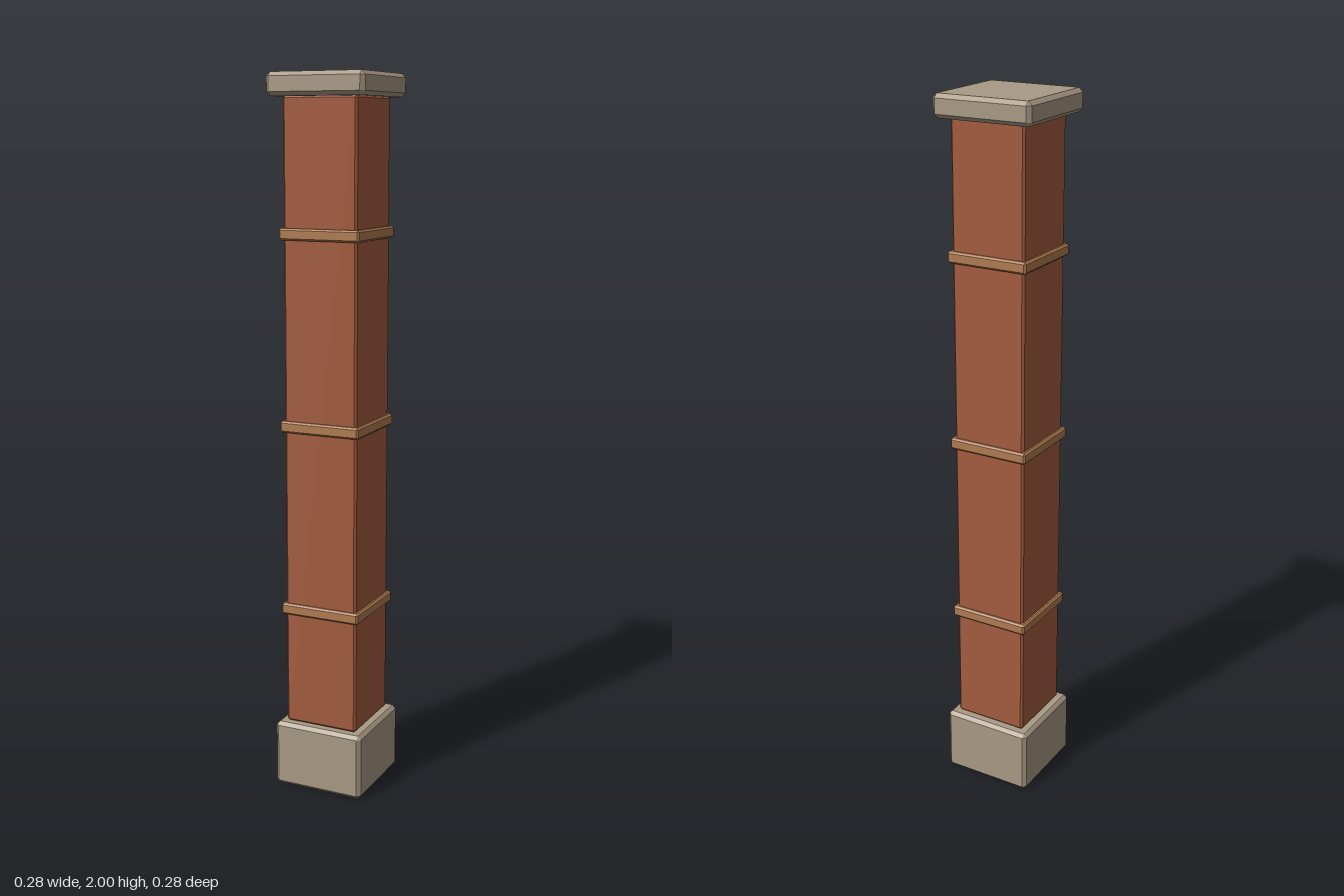
import * as THREE from 'three';
import { ConvexGeometry } from 'three/addons/geometries/ConvexGeometry.js';

// Square block with every edge and corner chamfered by c
function chamferedBlock(name, half, y0, y1, c, color) {
  const h = (y1 - y0) / 2;
  const points = [];
  for (const sx of [-1, 1]) for (const sy of [-1, 1]) for (const sz of [-1, 1]) {
    points.push(
      new THREE.Vector3(sx * half, sy * (h - c), sz * (half - c)),
      new THREE.Vector3(sx * (half - c), sy * h, sz * (half - c)),
      new THREE.Vector3(sx * (half - c), sy * (h - c), sz * half)
    );
  }
  const material = new THREE.MeshStandardMaterial({ color, flatShading: true });
  const mesh = new THREE.Mesh(new ConvexGeometry(points), material);
  mesh.name = name;
  mesh.position.y = (y0 + y1) / 2;
  return mesh;
}

export function createModel() {
  const stone = 0xa89a84, brick = 0xa35c3e, trim = 0xb07b50;
  const pillar = new THREE.Group();
  pillar.name = 'pillar';

  // Stone plinth, brick shaft and stone cap
  pillar.add(chamferedBlock('base', 0.133, 0, 0.19, 0.01, stone));
  pillar.add(chamferedBlock('shaft', 0.108, 0.19, 1.94, 0.006, brick));
  pillar.add(chamferedBlock('cap', 0.142, 1.938, 2, 0.011, stone));

  // Three evenly spaced trim bands
  [0.53, 1.055, 1.58].forEach((y, i) => {
    pillar.add(chamferedBlock('band' + (i + 1), 0.118, y - 0.016, y + 0.016, 0.005, trim));
  });
  return pillar;
}
